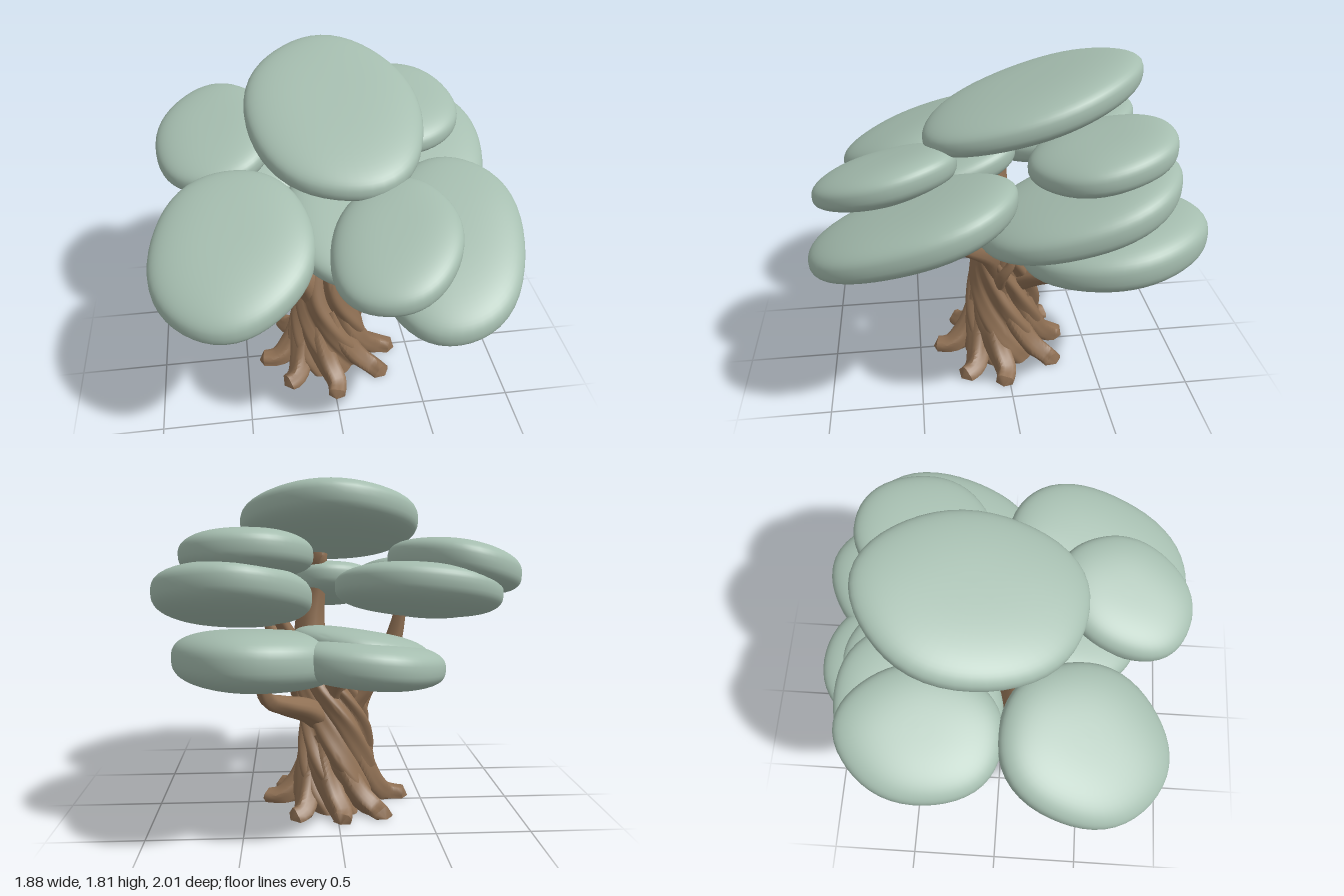
import * as THREE from 'three';
import { toCreasedNormals } from 'three/addons/utils/BufferGeometryUtils.js';

const V = (x, y, z) => new THREE.Vector3(x, y, z);

// Apply a rule to every vertex, then rebuild normals with creases.
function reshape(geo, rule, crease) {
  const p = geo.attributes.position, v = new THREE.Vector3();
  for (let i = 0; i < p.count; i++) {
    v.fromBufferAttribute(p, i);
    rule(v, i);
    p.setXYZ(i, v.x, v.y, v.z);
  }
  return toCreasedNormals(geo, crease);
}

// Piecewise linear profile of [height, radius] pairs.
function profile(points, y) {
  for (let i = 1; i < points.length; i++) {
    const [y0, r0] = points[i - 1], [y1, r1] = points[i];
    if (y <= y1) return THREE.MathUtils.mapLinear(y, y0, y1, r0, r1);
  }
  return points[points.length - 1][1];
}

// Tapered limb with a slightly ridged, twisting section and a closed tip.
function limb(points, r0, r1, ridge = 0.08) {
  const path = new THREE.CatmullRomCurve3(points.map(p => V(...p)));
  const n = 20, sides = 16;
  const geo = new THREE.TubeGeometry(path, n, 1, sides);
  return reshape(geo, (v, i) => {
    const ring = Math.floor(i / (sides + 1)), t = ring / n;
    const a = (i % (sides + 1)) / sides * Math.PI * 2;
    const c = path.getPointAt(t);
    const r = ring === n ? 0 : r0 + (r1 - r0) * Math.pow(t, 0.8);
    v.sub(c).multiplyScalar(r * (1 + ridge * Math.sin(4 * a + 4 * t))).add(c);
    v.y = Math.max(v.y, 0);
  }, 0.9);
}

// Flattened leaf pad: a rounded disc, thinner at the front, turned in plan and sheared to its slope.
function leafPad([x, y, z, rx, rz, h, sx, sz, yaw], seed) {
  const e = 0.72, pow = s => Math.sign(s) * Math.pow(Math.abs(s), e);
  const c = Math.cos(yaw), s = Math.sin(yaw);
  return reshape(new THREE.SphereGeometry(1, 48, 32), v => {
    const flat = Math.hypot(v.x, v.z), a = Math.atan2(v.x, v.z);
    const wobble = 1 + 0.012 * Math.sin(3 * a + seed * 2) + 0.01 * Math.sin(5 * a + seed);
    const k = flat > 1e-6 ? pow(flat) / flat * wobble : 0;
    const px = v.x * k * rx, pz = v.z * k * rz;
    const dx = px * c + pz * s, dz = pz * c - px * s;
    const thick = h * (1 - 0.13 * dz / rz);
    v.set(x + dx, y + pow(v.y) * thick + sx * dx + sz * dz, z + dz);
  }, 1.2);
}

export function createModel() {
  const tree = new THREE.Group();
  tree.name = 'tree';
  const bark = new THREE.MeshStandardMaterial({ color: 0x8f7054 });
  bark.name = 'bark brown';
  const leaf = new THREE.MeshStandardMaterial({ color: 0xa5bdaf });
  leaf.name = 'leaf sage green';
  const add = (parent, name, geo, mat) => {
    const m = new THREE.Mesh(geo, mat);
    m.name = name;
    parent.add(m);
  };
  const group = name => {
    const g = new THREE.Group();
    g.name = name;
    tree.add(g);
    return g;
  };

  // Trunk: ridged column, its mesh twisted so edges follow the ridges
  const outline = [[0, 0.22], [0.1, 0.23], [0.2, 0.22], [0.4, 0.197],
    [0.55, 0.183], [0.68, 0.165], [0.8, 0.12], [0.92, 0.08]];
  const H = 0.92;
  const trunk = reshape(new THREE.CylinderGeometry(1, 1, H, 96, 28), v => {
    const y = v.y + H / 2;
    const a = Math.atan2(v.x, v.z), turned = a - 3.3 * y;
    const ridge = 0.88 + 0.19 * Math.abs(Math.sin(4 * a + 0.4 * Math.sin(2 * a)))
      + 0.03 * Math.sin(11 * a);
    const r = Math.hypot(v.x, v.z) * profile(outline, y) * ridge;
    const lean = 0.11 * THREE.MathUtils.smoothstep(y, 0.45, 0.95);
    v.set(Math.sin(turned) * r + lean, y, Math.cos(turned) * r);
  }, 0.9);
  add(tree, 'trunk', trunk, bark);

  // Roots: splayed around the foot, curling with the twist of the trunk
  const roots = group('roots');
  const reach = [0.42, 0.42, 0.42, 0.39, 0.37, 0.41, 0.43, 0.4];
  reach.forEach((len, i) => {
    const a = i / reach.length * Math.PI * 2 + 0.1 * Math.sin(i * 2.3);
    const at = (r, y, turn) => [r * Math.sin(a + turn), y, r * Math.cos(a + turn)];
    add(roots, 'root', limb([at(0.09, 0.44, -1.1), at(0.145, 0.26, -0.55),
      at(0.22, 0.1, -0.1), at(0.31, 0.025, 0.06), at(len, 0.005, 0)], 0.09, 0.052, 0.12), bark);
  });

  // Branches: path, start radius, end radius
  const branches = group('branches');
  [
    [[[0.04, 0.5, 0], [0.12, 0.78, 0.02], [0.14, 1.02, 0.05], [0.11, 1.25, 0.05], [0.08, 1.48, -0.02]], 0.14, 0.04],
    [[[-0.05, 0.46, 0.03], [-0.15, 0.67, 0.06], [-0.27, 0.79, 0.07], [-0.33, 0.92, 0.06], [-0.39, 1.2, 0.04]], 0.11, 0.026],
    [[[-0.1, 0.58, -0.02], [-0.18, 0.7, -0.05], [-0.17, 0.83, -0.08]], 0.06, 0.022],
    [[[0.06, 0.5, -0.05], [0.17, 0.59, -0.18], [0.29, 0.66, -0.34], [0.37, 0.72, -0.45], [0.41, 0.88, -0.51]], 0.08, 0.028],
    [[[0.09, 0.58, 0.02], [0.18, 0.74, 0.09], [0.28, 0.86, 0.23], [0.36, 0.95, 0.38], [0.42, 1.08, 0.5]], 0.085, 0.026],
    [[[0.24, 0.82, 0.17], [0.29, 0.93, 0.22], [0.3, 1.15, 0.26]], 0.045, 0.022],
    [[[0.13, 0.75, -0.03], [0.22, 0.92, -0.1], [0.34, 1.16, -0.22]], 0.07, 0.028],
    [[[0.04, 0.58, -0.05], [0, 0.74, -0.15], [-0.05, 0.92, -0.36]], 0.08, 0.028],
    [[[0.14, 0.52, 0.03], [0.21, 0.62, 0.02], [0.23, 0.7, -0.02], [0.22, 0.78, -0.03]], 0.045, 0.02],
  ].forEach(([pts, a, b]) => add(branches, 'branch', limb(pts, a, b), bark));

  // Canopy: x, y, z, half width, half depth, half height, slope in x, slope in z, yaw
  const canopy = group('canopy');
  Object.entries({
    topPad: [0.05, 1.58, -0.14, 0.455, 0.575, 0.122, 0.03, -0.27, 0.2],
    frontRightPad: [-0.535, 1.17, 0.445, 0.41, 0.445, 0.135, 0.13, -0.32, 0],
    frontLeftPad: [0.535, 1.145, 0.5, 0.385, 0.51, 0.13, 0.1, -0.31, -0.2],
    frontMiddlePad: [0.24, 1.275, 0.63, 0.31, 0.37, 0.11, 0.17, -0.23, -0.3],
    frontInnerPad: [0.02, 1.22, 0.31, 0.27, 0.38, 0.1, 0, -0.27, 0],
    backLeftUpperPad: [0.46, 1.44, -0.43, 0.33, 0.36, 0.107, 0, -0.18, 0.1],
    backLeftLowerPad: [0.54, 1.215, -0.31, 0.4, 0.49, 0.13, 0.02, -0.29, 0],
    backRightUpperPad: [-0.58, 1.37, -0.36, 0.33, 0.4, 0.11, 0.17, -0.19, 0.1],
    backRightLowerPad: [-0.4, 1.25, -0.4, 0.42, 0.415, 0.11, 0.08, -0.25, 0],
    lowRightPad: [-0.11, 0.93, -0.58, 0.39, 0.4, 0.115, 0.09, -0.11, 0],
    lowRightUpperPad: [-0.1, 0.98, -0.5, 0.34, 0.37, 0.1, 0.16, -0.12, 0],
    lowLeftPad: [0.41, 0.945, -0.52, 0.415, 0.48, 0.145, 0.02, -0.11, 0.05],
  }).forEach(([name, spec], i) => add(canopy, name, leafPad(spec, i * 1.7), leaf));

  return tree;
}
